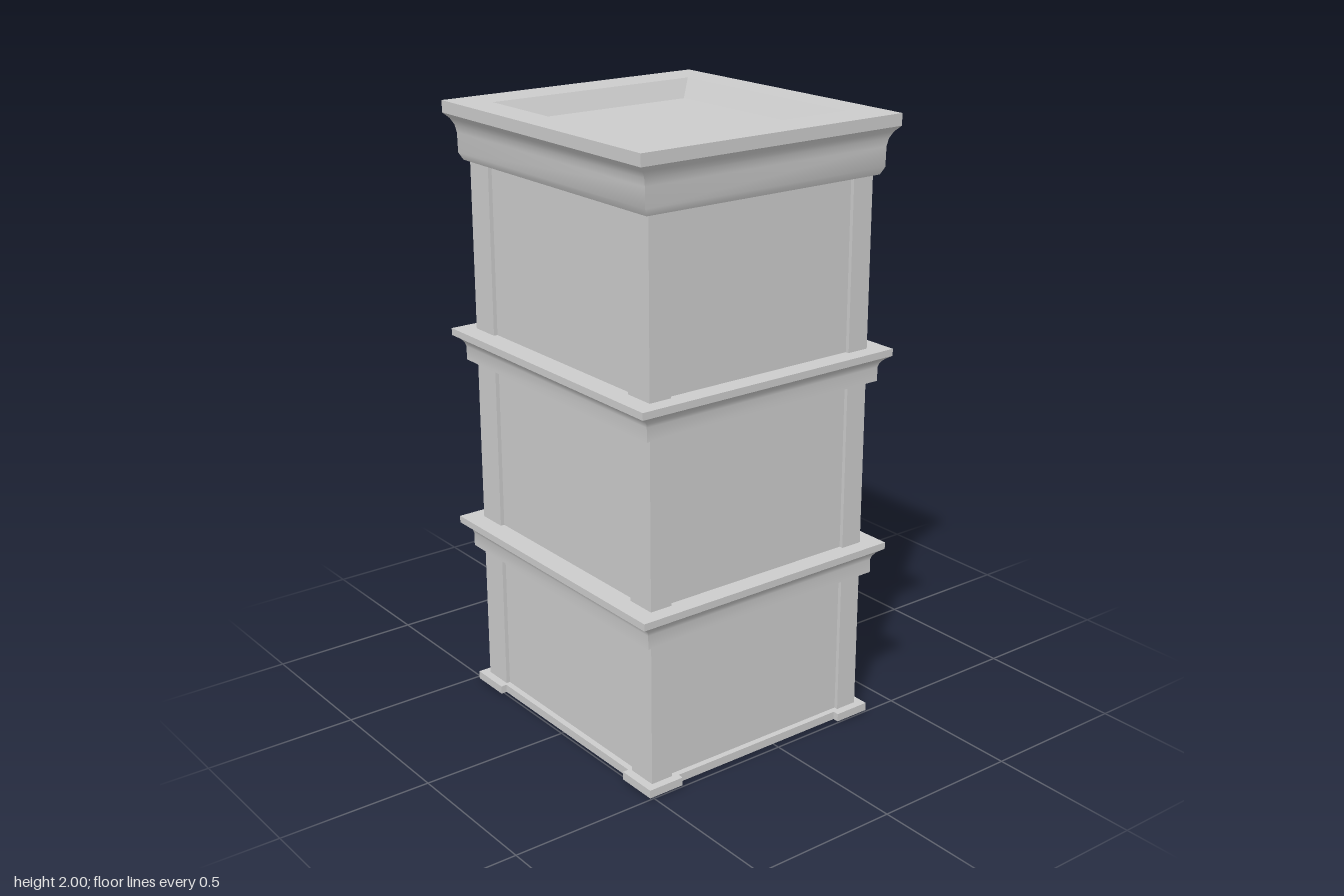
import * as THREE from 'three';
import { toCreasedNormals } from 'three/addons/utils/BufferGeometryUtils.js';

const grey = new THREE.MeshStandardMaterial({ color: 0xcccccc, side: THREE.DoubleSide });
const HX = 0.42, HZ = 0.462; // half footprint of the pilasters

function add(parent, name, geometry, x = 0, y = 0, z = 0) {
  const mesh = new THREE.Mesh(geometry, grey);
  mesh.name = name;
  mesh.position.set(x, y, z);
  parent.add(mesh);
  return mesh;
}

// Box centred on x, standing on y, with its back on z
const block = (parent, name, w, h, d, x, y, z = 0) =>
  add(parent, name, new THREE.BoxGeometry(w, h, d), x, y + h / 2, z + d / 2);

// Rectangular rings [halfX, halfZ, y] joined into a moulding
function loft(rows) {
  const corners = [[1, 1], [1, -1], [-1, -1], [-1, 1]];
  const point = ([hx, hz, y], k) => [corners[k % 4][0] * hx, y, corners[k % 4][1] * hz];
  const pos = [];
  for (let i = 0; i < rows.length - 1; i++) {
    for (let k = 0; k < 4; k++) {
      const a = point(rows[i], k), b = point(rows[i], k + 1);
      const c = point(rows[i + 1], k + 1), d = point(rows[i + 1], k);
      pos.push(...a, ...b, ...c);
      if (rows[i + 1][0] > 0) pos.push(...a, ...c, ...d);
    }
  }
  const g = new THREE.BufferGeometry();
  g.setAttribute('position', new THREE.Float32BufferAttribute(pos, 3));
  return toCreasedNormals(g, 0.6);
}

// Hollow storey: walls set back between corner pilasters
function shell(hx, hz, pw, pd, recess, height) {
  const quarter = [[hx, hz - pd], [hx, hz], [hx - pw, hz], [hx - pw, hz - recess]];
  const start = [hx - recess, hz - pd];
  const q = [start, ...quarter];
  const flip = (list, sx, sy) => list.map(([x, y]) => new THREE.Vector2(x * sx, y * sy));
  const shape = new THREE.Shape([
    ...flip(q, 1, 1), ...flip([...q].reverse(), -1, 1),
    ...flip(q, -1, -1), ...flip([...q].reverse(), 1, -1),
  ]);
  const ix = HX - 0.03, iz = HZ - 0.03;
  shape.holes.push(rect(-ix, -iz, 2 * ix, 2 * iz, THREE.Path));
  return new THREE.ExtrudeGeometry(shape, { depth: height, bevelEnabled: false }).rotateX(-Math.PI / 2);
}

function rect(x, y, w, h, Type = THREE.Shape) {
  return new Type([[x, y], [x + w, y], [x + w, y + h], [x, y + h]].map(p => new THREE.Vector2(...p)));
}

// Flat frame with rectangular openings [x, y, w, h]
function frame(x, y, w, h, depth, openings) {
  const s = rect(x, y, w, h);
  openings.forEach(o => s.holes.push(rect(...o, THREE.Path)));
  return new THREE.ExtrudeGeometry(s, { depth, bevelEnabled: false });
}

// Wedge stone: narrow at the foot, chamfered to the front
function keystoneGeometry() {
  const g = new THREE.BoxGeometry(0.11, 0.09, 0.09).toNonIndexed();
  const p = g.attributes.position;
  for (let i = 0; i < p.count; i++) {
    const low = p.getY(i) < 0, front = p.getZ(i) > 0;
    p.setX(i, p.getX(i) * (low ? 0.6 : 1) * (front ? 0.75 : 1));
    if (front && low) p.setZ(i, 0.025);
    if (front && !low) p.setY(i, 0.038);
  }
  g.computeVertexNormals();
  return g;
}

function makeWindow() {
  const w = new THREE.Group();
  w.name = 'window';
  block(w, 'glass', 0.17, 0.26, 0.008, 0, 0.06);
  add(w, 'casing', frame(-0.115, 0.03, 0.23, 0.31, 0.042, [[-0.078, 0.065, 0.156, 0.235]]));
  add(w, 'sash', frame(-0.08, 0.06, 0.16, 0.245, 0.025,
    [[-0.055, 0.088, 0.11, 0.08], [-0.055, 0.192, 0.11, 0.085]]));
  block(w, 'sill', 0.24, 0.035, 0.054, 0, 0.035);
  block(w, 'lintel', 0.29, 0.068, 0.06, 0, 0.317);
  for (const s of [-1, 1]) {
    block(w, 'lintelEar', 0.05, 0.115, 0.064, s * 0.122, 0.272);
    block(w, 'sillFoot', 0.05, 0.07, 0.05, s * 0.105, 0);
  }
  add(w, 'keystone', keystoneGeometry(), 0, 0.37, 0.047);
  return w;
}

function makeDoor() {
  const d = new THREE.Group();
  d.name = 'door';
  block(d, 'doorLeaf', 0.16, 0.35, 0.022, 0, 0.01);
  add(d, 'doorPanels', frame(-0.077, 0.01, 0.154, 0.345, 0.03,
    [[-0.05, 0.05, 0.1, 0.1], [-0.05, 0.19, 0.1, 0.13]]));
  for (const s of [-1, 1]) {
    block(d, 'doorJamb', 0.032, 0.36, 0.05, s * 0.092, 0);
    // Foot that flares out towards the ground
    const foot = new THREE.Shape([[0, 0], [0.088, 0], [0.088, 0.02], [0.07, 0.065], [0, 0.065]]
      .map(p => new THREE.Vector2(...p)));
    const g = new THREE.ExtrudeGeometry(foot, { depth: 0.042, bevelEnabled: false });
    add(d, 'jambFoot', g.rotateY(-Math.PI / 2), s * 0.095 + 0.021, 0, 0);
  }
  block(d, 'doorHead', 0.215, 0.03, 0.06, 0, 0.35);
  block(d, 'doorCap', 0.235, 0.022, 0.078, 0, 0.375);
  add(d, 'knobStem', new THREE.CylinderGeometry(0.006, 0.006, 0.025, 10).rotateX(Math.PI / 2), 0.058, 0.17, 0.04);
  add(d, 'knob', new THREE.SphereGeometry(0.014, 14, 10), 0.058, 0.17, 0.055);
  return d;
}

function makeSign() {
  const sign = new THREE.Group();
  sign.name = 'hangingSign';
  const board = new THREE.Group();
  board.name = 'signBoard';
  const w = 0.157, h = 0.375, t = 0.052, rim = 0.016;
  add(board, 'signRim', frame(-w / 2, -h / 2, w, h, t,
    [[-w / 2 + rim, -h / 2 + rim, w - 2 * rim, h - 2 * rim]]), 0, 0, -t / 2);
  add(board, 'signPanel', new THREE.BoxGeometry(w - rim, h - rim, t - 0.024));
  board.position.set(0.463, 1.572, -0.28);
  board.rotation.z = -0.035;
  sign.add(board);
  for (const y of [1.643, 1.495]) {
    const rod = new THREE.CylinderGeometry(0.011, 0.011, 0.07, 12).rotateZ(Math.PI / 2);
    add(sign, 'signBracket', rod, 0.36, y, -0.28);
    const plate = new THREE.CylinderGeometry(0.018, 0.018, 0.012, 12).rotateZ(Math.PI / 2);
    add(sign, 'bracketPlate', plate, 0.343, y, -0.28);
  }
  return sign;
}

export function createModel() {
  const model = new THREE.Group();
  model.name = 'townBuilding';
  const body = new THREE.Group();
  body.name = 'body';
  body.position.set(-0.07, 0, 0.015);
  model.add(body);

  // Storeys and plinth
  for (const [y0, y1] of [[0.01, 0.53], [0.6, 1.18], [1.26, 1.83]])
    add(body, 'storey', shell(HX, HZ, 0.076, 0.103, 0.013, y1 - y0), 0, y0, 0);
  add(body, 'plinth', shell(HX + 0.0275, HZ + 0.027, 0.125, 0.14, 0.02, 0.027), 0, 0.008, 0);

  // Belt courses and cornice, profiles as [overhang, y]
  const rows = profile => profile.map(([o, y]) => [HX + o, HZ + o * 0.82, y]);
  const belt = [[-0.03, 0], [0.0275, 0], [0.0275, 0.045], [0.031, 0.056], [0.039, 0.067],
    [0.05, 0.075], [0.0625, 0.082], [0.0625, 0.105]];
  for (const y of [0.51, 1.163])
    add(body, 'beltCourse', loft([...rows(belt), [0, 0, 0.105]]), 0, y, 0);
  const cornice = [[-0.03, 1.815], [0.016, 1.815], [0.028, 1.838], [0.029, 1.9], [0.034, 1.925],
    [0.045, 1.945], [0.0625, 1.962], [0.0625, 2]];
  add(body, 'corniceAndRoof', loft([...rows(cornice),
    [0.378, 0.385, 2], [0.338, 0.355, 1.94], [0, 0, 1.94]]));

  // Street wall, turned to the back
  const facade = new THREE.Group();
  facade.name = 'facade';
  facade.position.z = -0.434;
  facade.rotation.y = Math.PI;
  model.add(facade);
  const place = (part, x, y, scaleY = 1) => {
    part.position.set(-x, y, 0);
    part.scale.y = scaleY;
    facade.add(part);
  };
  for (const y of [1.36, 0.693])
    for (const x of [0.1, -0.24]) place(makeWindow(), x, y);
  place(makeWindow(), 0.1, 0.117, 0.875);
  place(makeDoor(), -0.248, 0);

  model.add(makeSign());
  return model;
}
